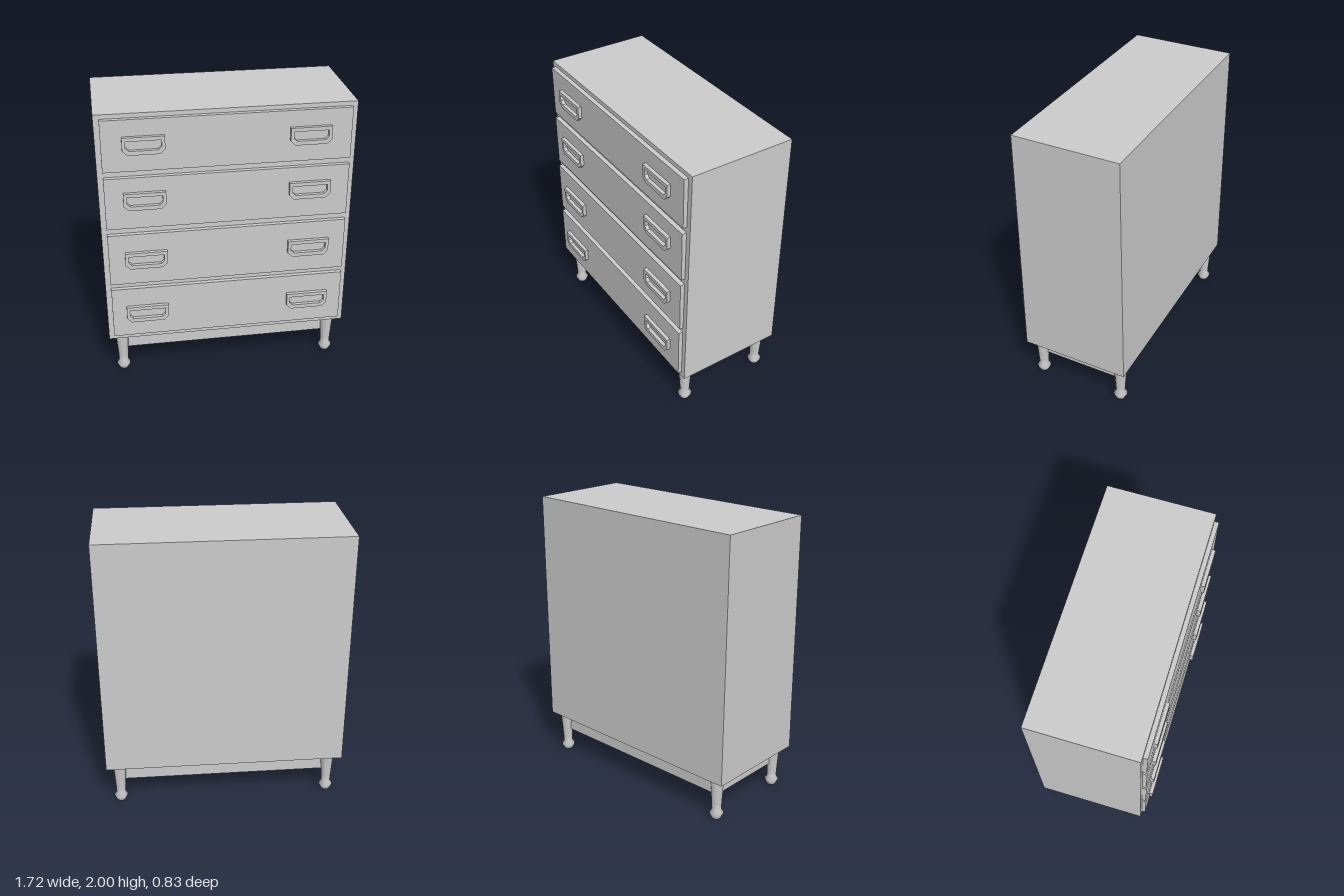
import * as THREE from 'three';

const material = new THREE.MeshStandardMaterial({ color: 0xcccccc, side: THREE.DoubleSide });
const BASE = 0.305, TOP = 2;

// The cabinet leans out slightly toward its base
const frontZ = (y) => 0.345 + 0.018 * (TOP - y) / (TOP - BASE);

function add(parent, name, geometry, x = 0, y = 0, z = 0) {
  const mesh = new THREE.Mesh(geometry, material);
  mesh.name = name;
  mesh.position.set(x, y, z);
  parent.add(mesh);
  return mesh;
}

function cabinetGeometry() {
  const g = new THREE.BoxGeometry(2, TOP - BASE, 2);
  g.translate(0, (TOP + BASE) / 2, 0);
  const p = g.attributes.position;
  for (let i = 0; i < p.count; i++) {
    const high = p.getY(i) > 1;
    p.setX(i, p.getX(i) * (high ? 0.862 : 0.854));
    p.setZ(i, p.getZ(i) > 0 ? frontZ(p.getY(i)) : high ? -0.396 : -0.413);
  }
  g.computeVertexNormals();
  return g;
}

// Rectangle with its two lower corners cut off
function cutRectangle(path, x0, x1, y0, y1, cut) {
  path.moveTo(x0, y1);
  path.lineTo(x0, y0 + cut);
  path.lineTo(x0 + cut, y0);
  path.lineTo(x1 - cut, y0);
  path.lineTo(x1, y0 + cut);
  path.lineTo(x1, y1);
  path.closePath();
  return path;
}

function handleGeometry(width) {
  const w = width / 2;
  const shape = cutRectangle(new THREE.Shape(), -w, w, -0.061, 0.061, 0.032);
  shape.holes.push(cutRectangle(new THREE.Path(), -w + 0.022, w - 0.022, -0.032, 0.035, 0.022));
  return new THREE.ExtrudeGeometry(shape, { depth: 0.027, bevelEnabled: false });
}

export function createModel() {
  const group = new THREE.Group();
  group.name = 'chestOfDrawers';
  add(group, 'cabinet', cabinetGeometry());

  // Drawers: bottom, top, handle centre height, handle centre x, handle width
  const drawers = [
    [1.612, 1.97, 1.795, 0.549, 0.277],
    [1.197, 1.568, 1.402, 0.556, 0.282],
    [0.768, 1.151, 0.957, 0.563, 0.287],
    [0.345, 0.728, 0.527, 0.571, 0.292],
  ];
  drawers.forEach(([y0, y1, handleY, handleX, handleW], i) => {
    const drawer = new THREE.Group();
    drawer.name = `drawer${i + 1}`;
    group.add(drawer);
    const y = (y0 + y1) / 2, z = frontZ(y);
    add(drawer, 'drawerFront', new THREE.BoxGeometry(1.648 - 0.004 * i, y1 - y0, 0.04), 0, y, z + 0.009);
    for (const side of [-1, 1]) {
      add(drawer, side > 0 ? 'leftHandle' : 'rightHandle', handleGeometry(handleW),
        side * handleX - 0.003, handleY, z + 0.027);
    }
  });

  // Turned legs with a rounded foot
  const profile = [[0, 0], [0.031, 0], [0.036, 0.01], [0.05, 0.04], [0.033, 0.068], [0.036, 0.12], [0.048, BASE + 0.005]]
    .map(([r, y]) => new THREE.Vector2(r, y));
  const legX = 0.76, legFront = 0.29, legBack = -0.342;
  const legGeometry = new THREE.LatheGeometry(profile, 12);
  for (const x of [-legX, legX]) {
    for (const z of [legFront, legBack]) {
      add(group, `${z > 0 ? 'front' : 'back'}${x > 0 ? 'Left' : 'Right'}Leg`, legGeometry, x, 0, z);
    }
  }

  // Thin apron boards joining the legs, open underneath
  const apronH = BASE - 0.175, apronY = 0.175 + apronH / 2;
  add(group, 'frontApron', new THREE.PlaneGeometry(legX * 2, apronH), 0, apronY, legFront);
  add(group, 'backApron', new THREE.PlaneGeometry(legX * 2, apronH), 0, apronY, legBack).rotation.y = Math.PI;
  for (const side of [-1, 1]) {
    add(group, side > 0 ? 'leftApron' : 'rightApron', new THREE.PlaneGeometry(legFront - legBack, apronH),
      side * legX, apronY, (legFront + legBack) / 2).rotation.y = side * Math.PI / 2;
  }
  return group;
}
